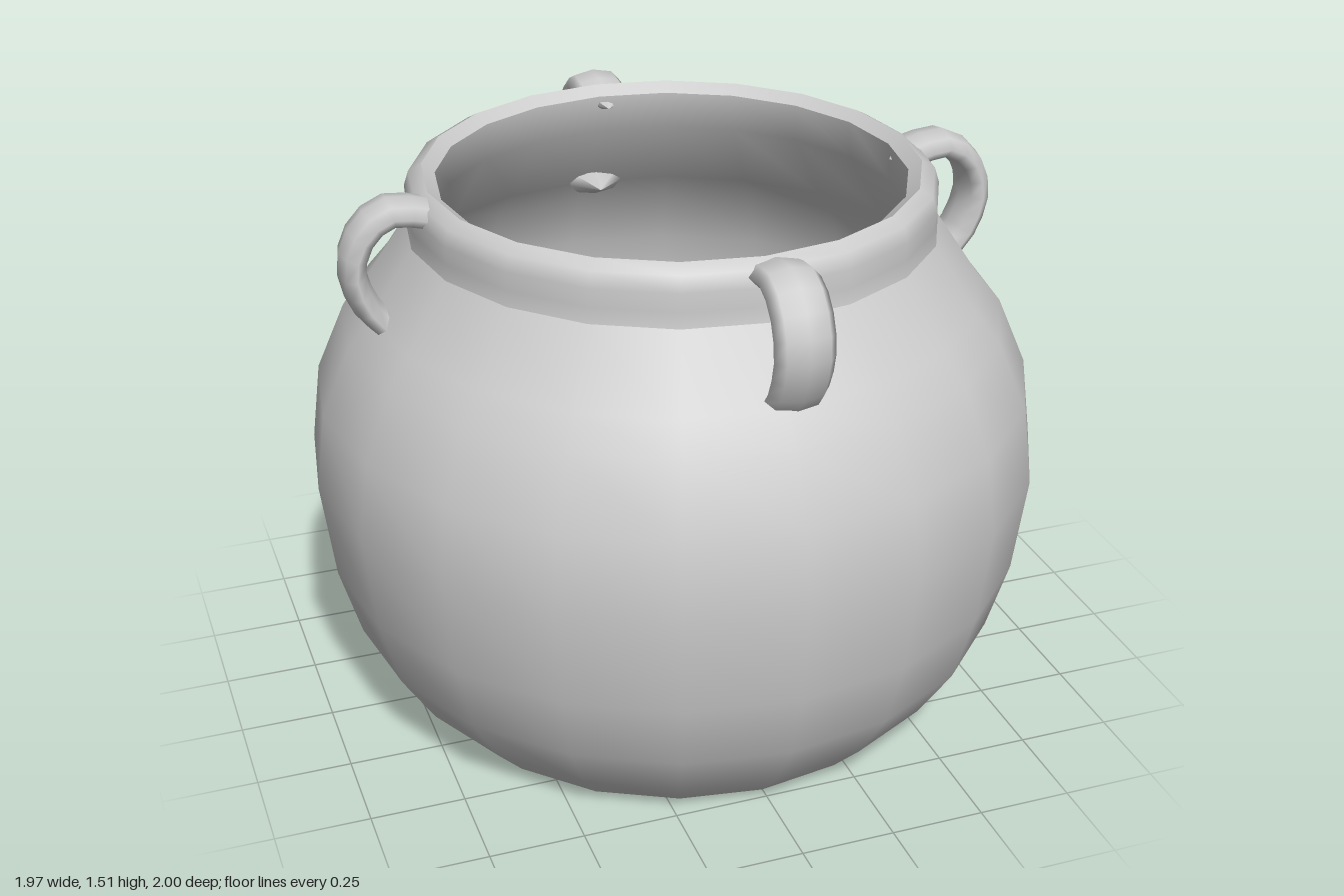
import * as THREE from 'three';

const SIDES = 20;

// Surface of revolution from [radius, height] pairs
function lathe(name, profile, material) {
  const points = profile.map(([r, y]) => new THREE.Vector2(r, y));
  const mesh = new THREE.Mesh(new THREE.LatheGeometry(points, SIDES), material);
  mesh.name = name;
  mesh.scale.x = 0.985;
  return mesh;
}

// Flattened curved tube whose two ends close to points inside the wall
function handleGeometry() {
  const path = new THREE.CatmullRomCurve3([
    [0.61, 1.44], [0.69, 1.465], [0.76, 1.473], [0.825, 1.43],
    [0.86, 1.34], [0.84, 1.25], [0.79, 1.18], [0.7, 1.16],
  ].map(([x, y]) => new THREE.Vector3(x, y, 0)));
  const segments = 12, radial = 8, radius = 0.037;
  const geometry = new THREE.TubeGeometry(path, segments, radius, radial);
  const position = geometry.attributes.position;
  for (const ring of [0, segments]) {
    const tip = path.getPointAt(ring / segments);
    for (let j = 0; j <= radial; j++) {
      position.setXYZ(ring * (radial + 1) + j, tip.x, tip.y, tip.z);
    }
  }
  return geometry.scale(1, 1, 0.078 / radius);
}

export function createModel() {
  const clay = new THREE.MeshStandardMaterial({ color: 0xcccccc });
  clay.name = 'grey clay';

  const pot = new THREE.Group();
  pot.name = 'pot';

  // Body shell, built as separate bands so the base and lip keep sharp edges
  pot.add(
    lathe('base', [[0, 0], [0.72, 0]], clay),
    lathe('outerWall', [
      [0.72, 0], [0.815, 0.1], [0.91, 0.25], [0.967, 0.445], [1, 0.71],
      [0.972, 0.92], [0.893, 1.1], [0.83, 1.175], [0.71, 1.35],
    ], clay),
    lathe('rim', [[0.71, 1.35], [0.704, 1.39], [0.708, 1.44], [0.695, 1.48], [0.66, 1.5]], clay),
    lathe('lip', [[0.66, 1.5], [0.625, 1.475]], clay),
    lathe('innerWall', [
      [0.625, 1.475], [0.635, 1.37], [0.77, 1.165], [0.85, 1.08], [0.925, 0.91],
      [0.955, 0.71], [0.925, 0.455], [0.865, 0.27], [0.77, 0.13], [0.69, 0.05],
    ], clay),
    lathe('innerFloor', [[0.69, 0.05], [0, 0.05]], clay),
  );

  // Four handles, set slightly off centre towards +x and +z
  const geometry = handleGeometry();
  ['leftHandle', 'backHandle', 'rightHandle', 'frontHandle'].forEach((name, i) => {
    const handle = new THREE.Mesh(geometry, clay);
    handle.name = name;
    handle.rotation.y = i * Math.PI / 2;
    if (i % 2) handle.position.x = 0.024;
    else handle.position.z = 0.024;
    pot.add(handle);
  });

  return pot;
}
